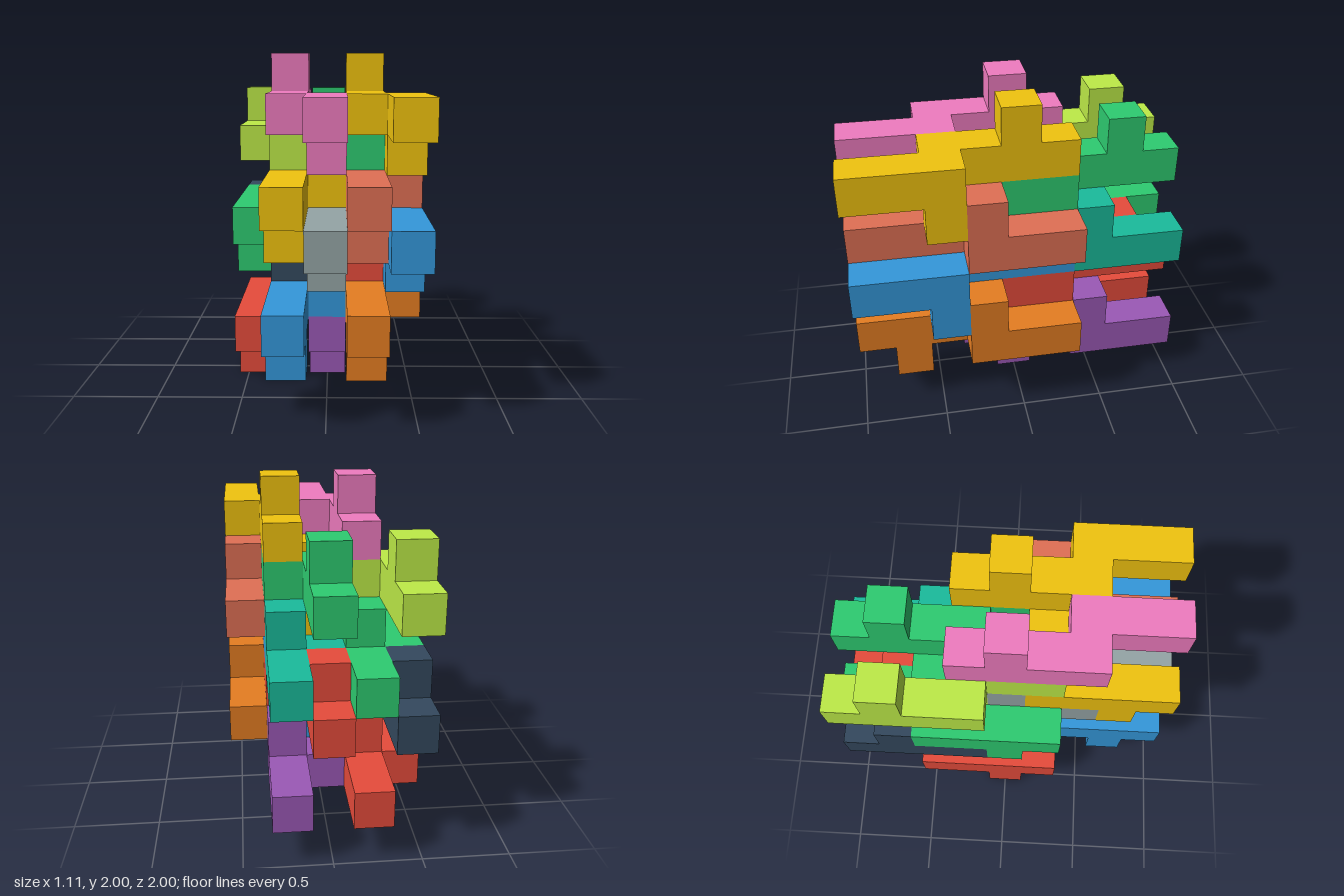
import * as THREE from 'three';
import { mergeGeometries } from 'three/addons/utils/BufferGeometryUtils.js';

const U = 2 / 9; // edge of one cube

// Cubes of one puzzle piece: long bar, side-stepped short bar, a stud up and a stud down
const CELLS = [
  [0, 0, -2.5], [0, 0, -1.5], [0, 0, -0.5], [0, 0, 0.5],
  [1, 0, 0.5], [1, 0, 1.5], [1, 0, 2.5],
  [0, 1, -1.5], [1, -1, 0.5],
];

// Outer skin of a set of cubes, without faces between touching cubes
function cubeSkin(cells) {
  const filled = new Set(cells.map(String));
  const front = new THREE.Vector3(0, 0, 1);
  const faces = [];
  for (const cell of cells) {
    for (let axis = 0; axis < 3; axis++) {
      for (const sign of [-1, 1]) {
        const next = [...cell];
        next[axis] += sign;
        if (filled.has(String(next))) continue;
        const dir = new THREE.Vector3().setComponent(axis, sign);
        const centre = new THREE.Vector3(...cell).addScaledVector(dir, 0.5).multiplyScalar(U);
        faces.push(new THREE.PlaneGeometry(U, U)
          .applyQuaternion(new THREE.Quaternion().setFromUnitVectors(front, dir))
          .translate(centre.x, centre.y, centre.z));
      }
    }
  }
  return mergeGeometries(faces);
}

// name, color, column and row of the long bar, in the front half?, turned over?
const PIECES = [
  ['goldTopPiece', 0xf1c40f, 3, 7, true, false],
  ['pinkPiece', 0xf07cc0, 1, 7, true, false],
  ['blueRightPiece', 0x3498db, 3, 4, true, false],
  ['grayPiece', 0x95a5a6, 1, 4, true, false],
  ['terracottaPiece', 0xe17055, 3, 5, true, true],
  ['orangePiece', 0xe67e22, 3, 2, true, true],
  ['goldMiddlePiece', 0xf1c40f, 1, 5, true, true],
  ['blueLowerPiece', 0x3498db, 1, 2, true, true],
  ['limePiece', 0xbeec48, 0, 6, false, false],
  ['greenTopPiece', 0x2ecc71, 2, 6, false, false],
  ['redMiddlePiece', 0xe74c3c, 2, 3, false, false],
  ['navyPiece', 0x34495e, 0, 3, false, false],
  ['greenSidePiece', 0x2ecc71, 0, 4, false, true],
  ['tealPiece', 0x1abc9c, 2, 4, false, true],
  ['purplePiece', 0x9b59b6, 2, 1, false, true],
  ['redLowerPiece', 0xe74c3c, 0, 1, false, true],
];

export function createModel() {
  const group = new THREE.Group();
  group.name = 'interlockingPuzzle';
  const geometry = cubeSkin(CELLS);
  for (const [name, color, column, row, inFront, turned] of PIECES) {
    const piece = new THREE.Mesh(geometry, new THREE.MeshStandardMaterial({ color }));
    piece.name = name;
    piece.position.set((column - 2) * U, (row + 0.5) * U, (inFront ? 1.5 : -1.5) * U);
    if (turned) piece.rotation.x = Math.PI;
    group.add(piece);
  }
  return group;
}
